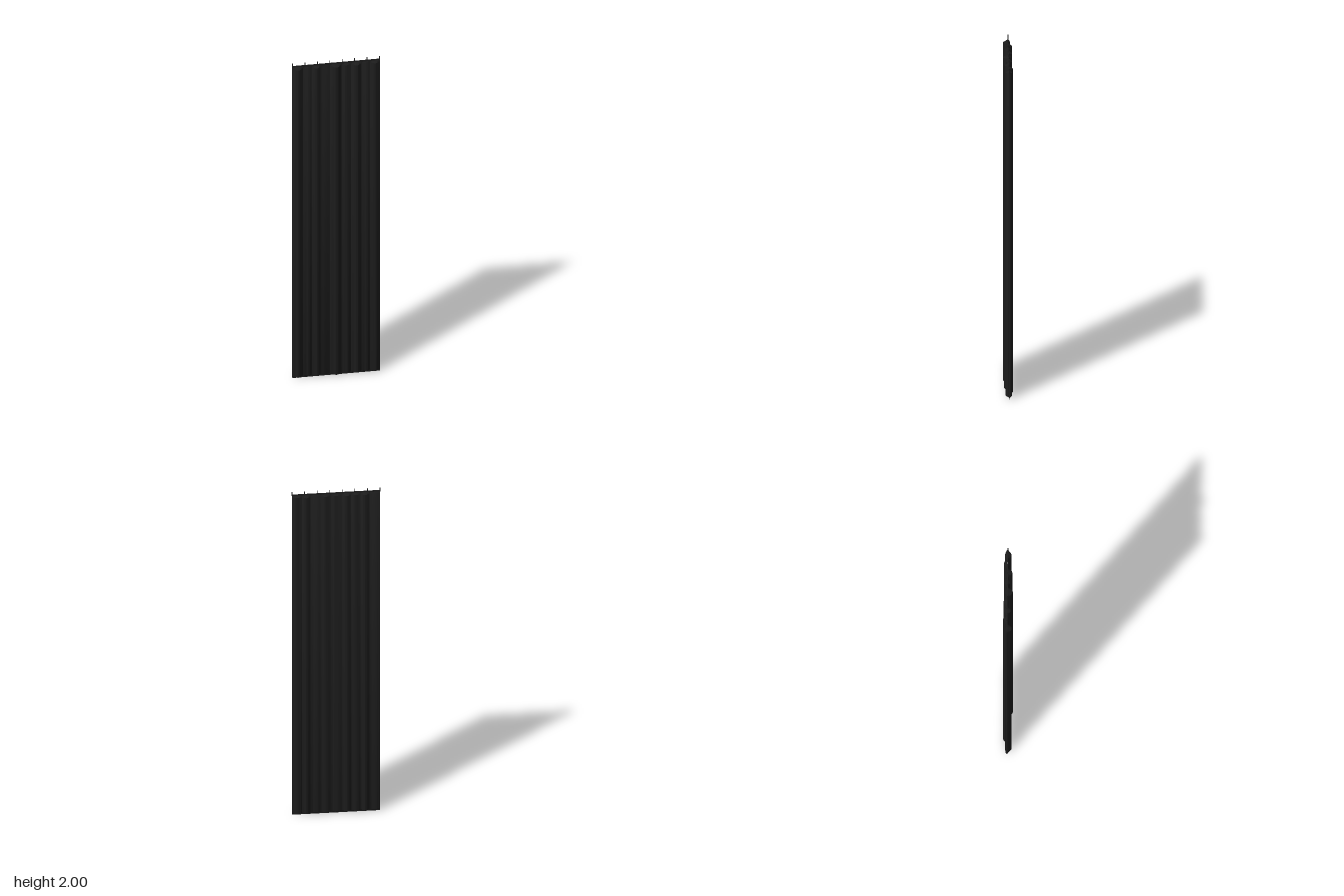
import * as THREE from 'three';
import { toCreasedNormals } from 'three/addons/utils/BufferGeometryUtils.js';

const MID = -0.006; // depth of the hem line

// Fold boundaries across the width, and the front / back depth of each fold
const NODES = [-0.248, -0.187, -0.138, -0.085, -0.034, 0.031, 0.086, 0.144, 0.192, 0.248];
const FRONT = [0.021, 0.004, 0.014, 0.0, 0.025, 0.008, 0.02, 0.004, 0.014];
const BACK = [-0.017, -0.028, -0.021, -0.026, -0.019, -0.023, -0.017, -0.028, -0.021];
const STEPS = 14;

// One wavy edge of the cross-section, from left to right
function foldLine(peaks, base) {
  const pts = [];
  peaks.forEach((peak, i) => {
    for (let s = i ? 1 : 0; s <= STEPS; s++) {
      const t = s / STEPS;
      const bulge = Math.pow(Math.max(0, Math.sin(Math.PI * t)), 1.3);
      pts.push([
        THREE.MathUtils.lerp(NODES[i], NODES[i + 1], t),
        base + (peak - base) * bulge,
      ]);
    }
  });
  return pts;
}

// Closed cross-section swept upwards, pinched to the hems at both ends
function clothGeometry() {
  const loop = [...foldLine(FRONT, -0.003), ...foldLine(BACK, -0.012).reverse()];
  const rings = [[0.005, 0.12], [0.012, 1], [1.968, 1], [1.978, 0.12]];
  const n = loop.length;
  const pos = [];
  const index = [];
  for (const [y, s] of rings) {
    for (const [x, z] of loop) pos.push(x, y, MID + (z - MID) * s);
  }
  for (let r = 0; r < rings.length - 1; r++) {
    for (let i = 0; i < n; i++) {
      const a = r * n + i;
      const b = r * n + ((i + 1) % n);
      index.push(a, b, b + n, a, b + n, a + n);
    }
  }
  const geo = new THREE.BufferGeometry();
  geo.setAttribute('position', new THREE.Float32BufferAttribute(pos, 3));
  geo.setIndex(index);
  return toCreasedNormals(geo, Math.PI / 4);
}

export function createModel() {
  const model = new THREE.Group();
  model.name = 'curtainPanel';
  const fabric = new THREE.MeshStandardMaterial({ color: 0x1c1c1c });

  const add = (name, geo, x, y, z) => {
    const mesh = new THREE.Mesh(geo, fabric);
    mesh.name = name;
    mesh.position.set(x, y, z);
    model.add(mesh);
  };

  // Folded cloth
  add('cloth', clothGeometry(), 0, 0, 0);

  // Flat hems along the bottom and the top
  add('bottomHem', new THREE.BoxGeometry(0.496, 0.012, 0.005), 0, 0.006, MID);
  add('topHem', new THREE.BoxGeometry(0.496, 0.015, 0.005), 0, 1.9765, MID);

  // Row of small hanging hooks
  for (let i = 0; i < 8; i++) {
    const x = -0.247 + (i * 0.494) / 7;
    add('hook', new THREE.BoxGeometry(0.004, 0.025, 0.005), x, 1.9875, MID);
  }
  return model;
}
